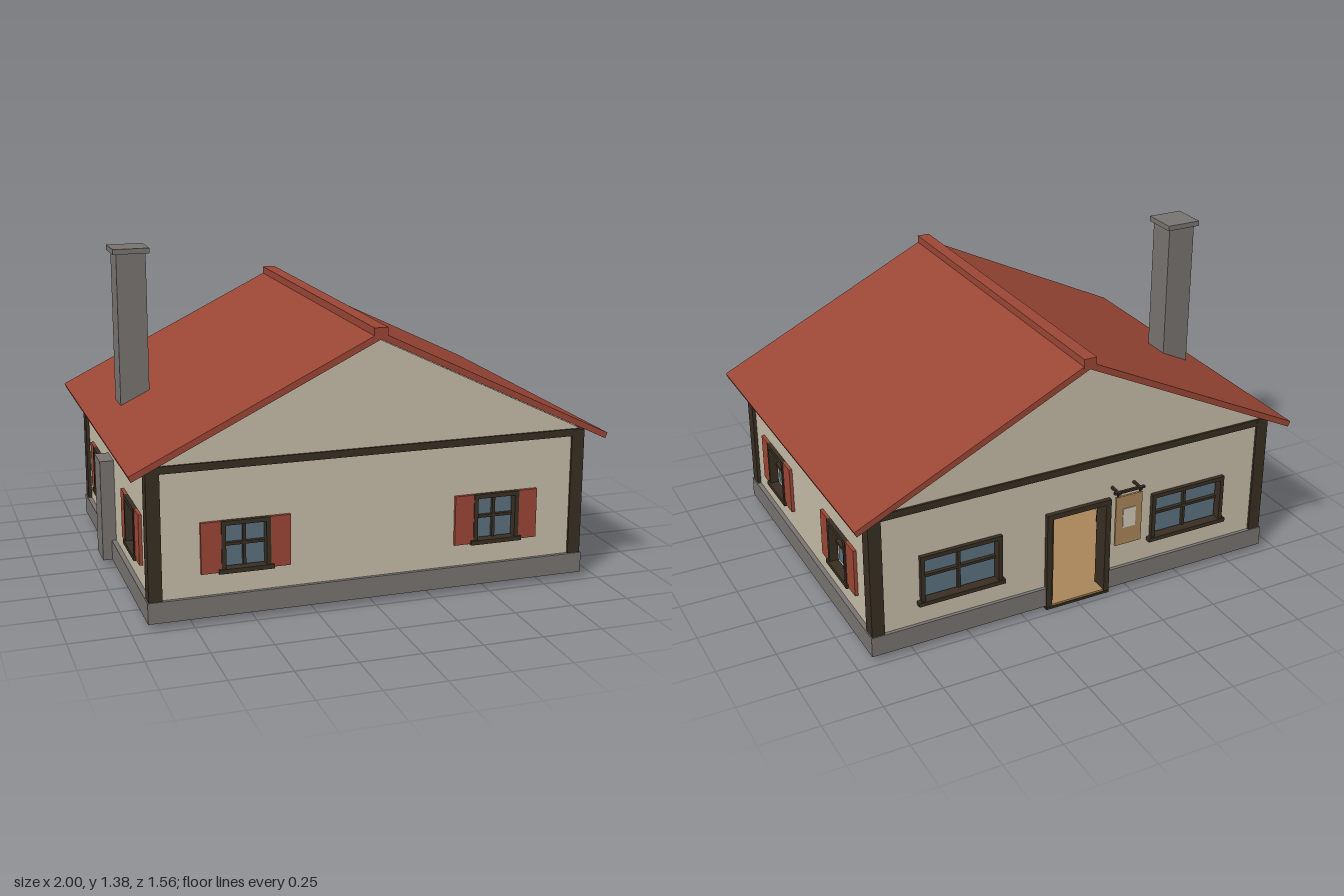
import * as THREE from 'three';

const mat = (name, color) => {
  const m = new THREE.MeshStandardMaterial({ color });
  m.name = name;
  return m;
};

export function createModel() {
  const plaster = mat('plaster', 0xc6bca7);
  const stone = mat('stone', 0x777370);
  const red = mat('red tile', 0x9a4635);
  const timber = mat('dark timber', 0x382e22);
  const wood = mat('light wood', 0xa98559);
  const glass = mat('glass', 0x5b717f);
  const brown = mat('door brown', 0x5c3b29);
  const paper = mat('paper', 0xcfc8b8);

  const root = new THREE.Group();
  root.name = 'house';

  // Box given by its min and max on each axis
  const box = (parent, name, m, x0, x1, y0, y1, z0, z1) => {
    const mesh = new THREE.Mesh(new THREE.BoxGeometry(x1 - x0, y1 - y0, z1 - z0), m);
    mesh.position.set((x0 + x1) / 2, (y0 + y1) / 2, (z0 + z1) / 2);
    mesh.name = name;
    parent.add(mesh);
    return mesh;
  };
  const extrude = (parent, name, m, points, depth, z, holes = []) => {
    const shape = new THREE.Shape(points.map(p => new THREE.Vector2(...p)));
    for (const [x0, x1, y0, y1] of holes) {
      shape.holes.push(new THREE.Path([[x0, y0], [x0, y1], [x1, y1], [x1, y0]].map(p => new THREE.Vector2(...p))));
    }
    const mesh = new THREE.Mesh(new THREE.ExtrudeGeometry(shape, { depth, bevelEnabled: false }), m);
    mesh.position.z = z;
    mesh.name = name;
    parent.add(mesh);
  };

  // Window in a wall whose outer face is local z = 0
  const addWindow = (parent, cx, w, y0, y1, shutters) => {
    const g = new THREE.Group();
    g.name = 'window';
    g.position.x = cx;
    parent.add(g);
    const h = w / 2, t = 0.018, my = (y0 + y1) / 2;
    box(g, 'glass', glass, -h, h, y0, y1, -0.034, -0.028);
    for (const s of [-1, 1]) {
      const a = s * h, b = s * (h - t);
      box(g, 'frameSide', timber, Math.min(a, b), Math.max(a, b), y0, y1, -0.02, 0.018);
    }
    box(g, 'frameTop', timber, -h, h, y1 - t, y1, -0.02, 0.018);
    box(g, 'sill', timber, -h - 0.012, h + 0.012, y0 - 0.004, y0 + 0.014, -0.02, 0.024);
    box(g, 'mullion', timber, -0.006, 0.006, y0, y1, -0.03, -0.012);
    box(g, 'crossbar', timber, -h, h, my - 0.006, my + 0.006, -0.03, -0.012);
    if (shutters) for (const s of [-1, 1]) {
      const c = s * (h + 0.041);
      box(g, 'shutter', red, c - 0.041, c + 0.041, y0, y1, 0, 0.014);
    }
  };

  // One wall with its window holes, turned to face outward
  const addWall = (name, points, x, z, turn, cx, w, y0, y1, shutters) => {
    const g = new THREE.Group();
    g.name = name;
    g.position.set(x, 0, z);
    g.rotation.y = turn;
    root.add(g);
    const r = w / 2 - 0.01;
    extrude(g, 'wallPanel', plaster, points, 0.05, -0.05,
      [-cx, cx].map(c => [c - r, c + r, y0 + 0.008, y1 - 0.01]));
    for (const c of [-cx, cx]) addWindow(g, c, w, y0, y1, shutters);
  };
  const gable = [[0.9, 0.1], [0.9, 0.66], [0, 1.098], [-0.9, 0.66], [-0.9, 0.1]];
  const doorway = [[-0.14, 0.1], [-0.14, 0.45], [0.14, 0.45], [0.14, 0.1]];
  const side = [[-0.67, 0.1], [0.67, 0.1], [0.67, 0.66], [-0.67, 0.66]];
  addWall('frontWall', gable, 0, 0.71, 0, 0.533, 0.2, 0.205, 0.415, true);
  addWall('backWall', [...gable, ...doorway], 0, -0.71, Math.PI, 0.533, 0.36, 0.205, 0.425, false);
  addWall('leftWall', side, 0.91, 0, Math.PI / 2, 0.368, 0.2, 0.205, 0.415, true);
  addWall('rightWall', side, -0.91, 0, -Math.PI / 2, 0.368, 0.2, 0.205, 0.415, true);

  // Stone foundation with a gap at the doorway
  box(root, 'foundationFront', stone, -0.93, 0.93, 0.025, 0.112, 0.66, 0.725);
  for (const s of [-1, 1]) {
    const x = s * 0.9, b = s * 0.54;
    box(root, 'foundationSide', stone, x - 0.03, x + 0.03, 0.025, 0.112, -0.66, 0.66);
    box(root, 'foundationBack', stone, b - 0.39, b + 0.39, 0.025, 0.112, -0.725, -0.66);
    // Corner posts and gable beams
    for (const z of [-0.69, 0.69]) {
      box(root, 'cornerPost', timber, s * 0.8975 - 0.0275, s * 0.8975 + 0.0275, 0.112, 0.652, z - 0.03, z + 0.03);
    }
    box(root, 'gableBeam', timber, -0.9, 0.9, 0.625, 0.655, s * 0.695 - 0.024, s * 0.695 + 0.024);
    // Rim below the floor
    box(root, 'floorRim', wood, s * 0.864 - 0.006, s * 0.864 + 0.006, 0, 0.025, -0.66, 0.66);
    box(root, 'floorRim', wood, -0.87, 0.87, 0, 0.025, s * 0.654 - 0.006, s * 0.654 + 0.006);
    // Door jambs
    box(root, 'doorJamb', timber, s * 0.1375 - 0.0125, s * 0.1375 + 0.0125, 0.02, 0.46, -0.73, -0.655);
  }
  box(root, 'doorLintel', timber, -0.15, 0.15, 0.437, 0.46, -0.73, -0.655);
  box(root, 'floor', wood, -0.865, 0.865, 0.012, 0.025, -0.655, 0.655);
  box(root, 'thresholdFloor', wood, -0.125, 0.125, 0.018, 0.026, -0.725, -0.655);
  box(root, 'threshold', timber, -0.15, 0.15, 0.008, 0.018, -0.73, -0.66);

  // Open door, swung inward, with handle
  box(root, 'door', brown, 0.104, 0.124, 0.005, 0.435, -0.7, -0.4);
  box(root, 'doorHandle', timber, 0.094, 0.104, 0.21, 0.23, -0.44, -0.42);

  // Ceiling and its beams
  box(root, 'ceiling', brown, -0.87, 0.87, 0.62, 0.63, -0.66, 0.66);
  for (let i = 0; i < 7; i++) {
    const z = -0.54 + i * 0.18;
    box(root, 'ceilingBeam', timber, -0.86, 0.86, 0.59, 0.62, z - 0.018, z + 0.018);
  }

  // Gabled roof and ridge cap
  extrude(root, 'roof', red,
    [[1, 0.645], [0, 1.132], [-1, 0.645], [-0.99, 0.622], [0, 1.103], [0.99, 0.622]], 1.555, -0.777);
  box(root, 'ridgeCap', red, -0.028, 0.028, 1.11, 1.15, -0.778, 0.779);

  // Chimney, fireplace and outer stone breast
  box(root, 'chimney', stone, -0.87, -0.745, 0.4, 1.355, -0.165, -0.04);
  box(root, 'chimneyCap', stone, -0.885, -0.73, 1.355, 1.377, -0.18, -0.028);
  box(root, 'fireplace', stone, -0.86, -0.67, 0.006, 0.45, -0.165, -0.04);
  box(root, 'chimneyBreast', stone, -0.97, -0.85, 0.025, 0.47, -0.165, -0.035);

  // Hanging notice board beside the door
  const sign = new THREE.Group();
  sign.name = 'sign';
  root.add(sign);
  box(sign, 'signBar', timber, -0.285, -0.14, 0.5, 0.51, -0.768, -0.756);
  for (const x of [-0.265, -0.16]) {
    box(sign, 'signBracket', timber, x - 0.005, x + 0.005, 0.5, 0.51, -0.776, -0.7);
    box(sign, 'signHook', timber, x - 0.003, x + 0.003, 0.48, 0.5, -0.764, -0.758);
  }
  box(sign, 'signBoard', wood, -0.275, -0.15, 0.255, 0.485, -0.766, -0.757);
  box(sign, 'signPaper', paper, -0.243, -0.183, 0.335, 0.425, -0.769, -0.765);

  // Tables with benches
  const furniture = (name, cx, cz, w, d, h) => {
    const g = new THREE.Group();
    g.name = name;
    g.position.set(cx, 0, cz);
    root.add(g);
    box(g, 'board', wood, -w, w, h - 0.015, h, -d, d);
    for (const x of [-w + 0.012, w - 0.012]) for (const z of [-d + 0.012, d - 0.012]) {
      box(g, 'leg', timber, x - 0.008, x + 0.008, 0.006, h - 0.015, z - 0.008, z + 0.008);
    }
  };
  for (const [x, z] of [[0.5, -0.395], [0.487, 0.177], [-0.469, -0.38]]) {
    furniture('table', x, z, 0.1, 0.07, 0.17);
    for (const s of [-1, 1]) furniture('bench', x, z + s * 0.125, 0.09, 0.03, 0.1);
  }

  // Barrels along the front wall
  const profile = [[0, 0], [0.05, 0], [0.062, 0.07], [0.05, 0.14], [0, 0.14]].map(p => new THREE.Vector2(...p));
  for (const x of [0.306, -0.18, -0.318]) {
    const barrel = new THREE.Mesh(new THREE.LatheGeometry(profile, 16), brown);
    barrel.position.set(x, 0.006, 0.59);
    barrel.name = 'barrel';
    root.add(barrel);
  }
  return root;
}
